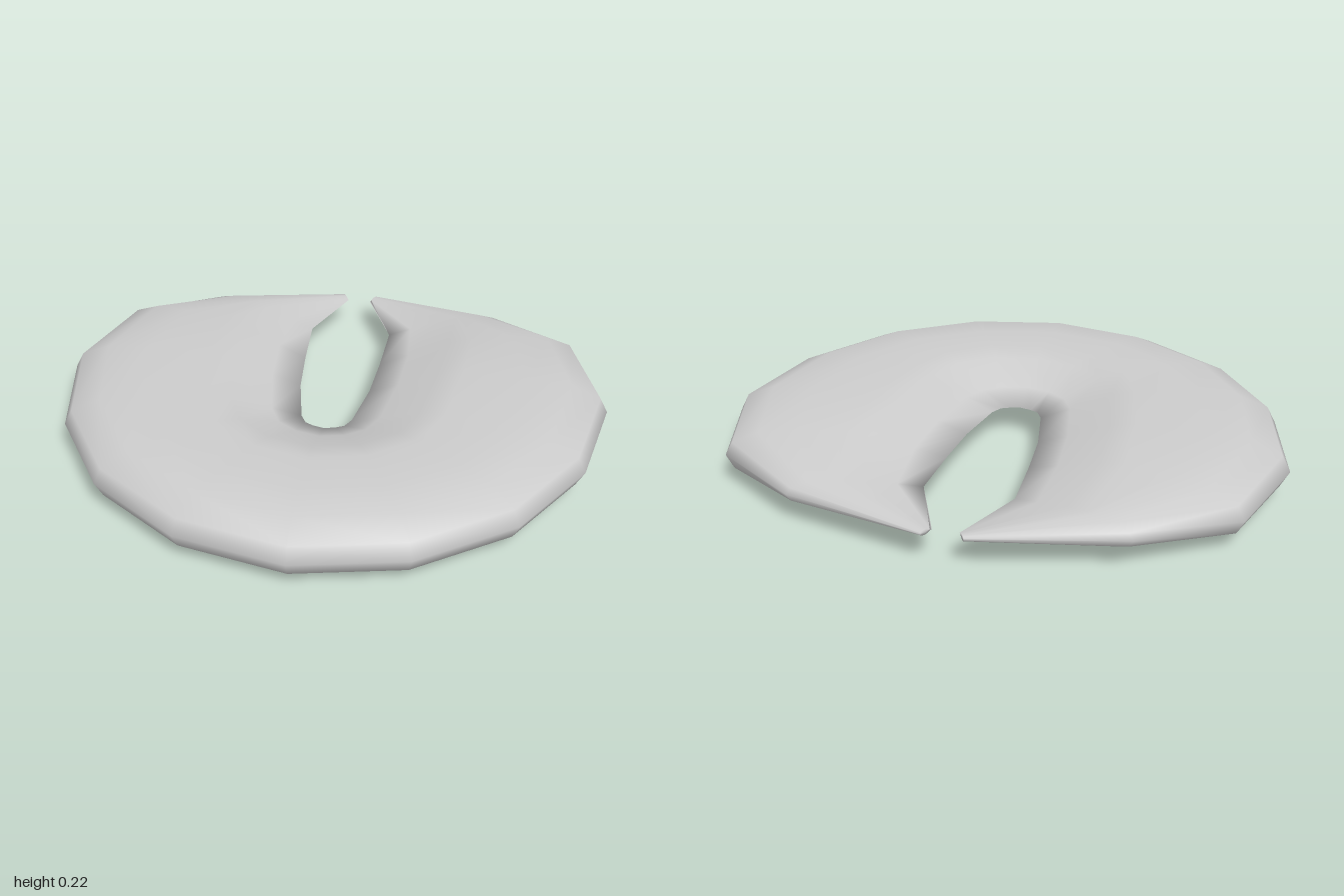
import * as THREE from 'three';

// Half of the cushion, from the front centre to the tip:
// [outer x, outer z, inner x, inner z, half thickness, width share of the inner slope]
const HALF = [
  [0, 0.85, 0, 0.11, 0.1125, 0.33],
  [0.385, 0.77, 0.04, 0.1, 0.1125, 0.33],
  [0.71, 0.55, 0.07, 0.085, 0.1125, 0.32],
  [0.92, 0.23, 0.092, 0.045, 0.1125, 0.3],
  [1, -0.15, 0.13, -0.15, 0.1125, 0.29],
  [0.885, -0.52, 0.145, -0.34, 0.098, 0.34],
  [0.57, -0.725, 0.155, -0.56, 0.047, 0.46],
  [0.07, -0.85, 0.045, -0.81, 0.009, 0.4],
];
const MID_Y = 0.1125;

// Rounded outer rim: [fraction from outer to inner edge, fraction of half thickness]
const RIM = [[0, 0], [0.034, 0.5], [0.156, 0.9], [0.333, 1]];
// Hollowed slope to the thin inner edge: [share of the slope width, fraction of half thickness]
const SLOPE = [[1.35, 1], [1, 0.86], [0.42, 0.34], [0, 0]];

function ring([ox, oz, ix, iz, half, slope]) {
  const top = [...RIM, ...SLOPE.map(([s, h]) => [1 - s * slope, h])];
  const bottom = top.slice(1, -1).reverse().map(([u, h]) => [u, -h]);
  return [...top, ...bottom].map(([u, h]) =>
    [ox + (ix - ox) * u, MID_Y + h * half, oz + (iz - oz) * u]);
}

function cushionGeometry() {
  // Mirror the half outline so the sections run from the right tip to the left tip
  const mirrored = HALF.slice(1).reverse().map(([ox, oz, ix, iz, ...rest]) => [-ox, oz, -ix, iz, ...rest]);
  const sections = [...mirrored, ...HALF];
  const rings = sections.map(ring);
  const n = rings[0].length;

  // Close both tips with a ring collapsed to its centre
  const collapse = ([ox, oz, ix, iz]) => Array(n).fill([(ox + ix) / 2, MID_Y, (oz + iz) / 2]);
  rings.unshift(collapse(sections[0]));
  rings.push(collapse(sections[sections.length - 1]));

  const index = [];
  for (let i = 0; i < rings.length - 1; i++) {
    for (let j = 0; j < n; j++) {
      const k = (j + 1) % n;
      const a = i * n + j, b = (i + 1) * n + j, c = (i + 1) * n + k, d = i * n + k;
      index.push(a, b, d, b, c, d);
    }
  }
  const geometry = new THREE.BufferGeometry();
  geometry.setAttribute('position', new THREE.Float32BufferAttribute(rings.flat(2), 3));
  geometry.setIndex(index);
  geometry.computeVertexNormals();
  return geometry;
}

export function createModel() {
  const group = new THREE.Group();
  group.name = 'neckPillow';
  const cushion = new THREE.Mesh(cushionGeometry(), new THREE.MeshStandardMaterial({ color: 0xcccccc }));
  cushion.name = 'cushion';
  group.add(cushion);
  return group;
}
